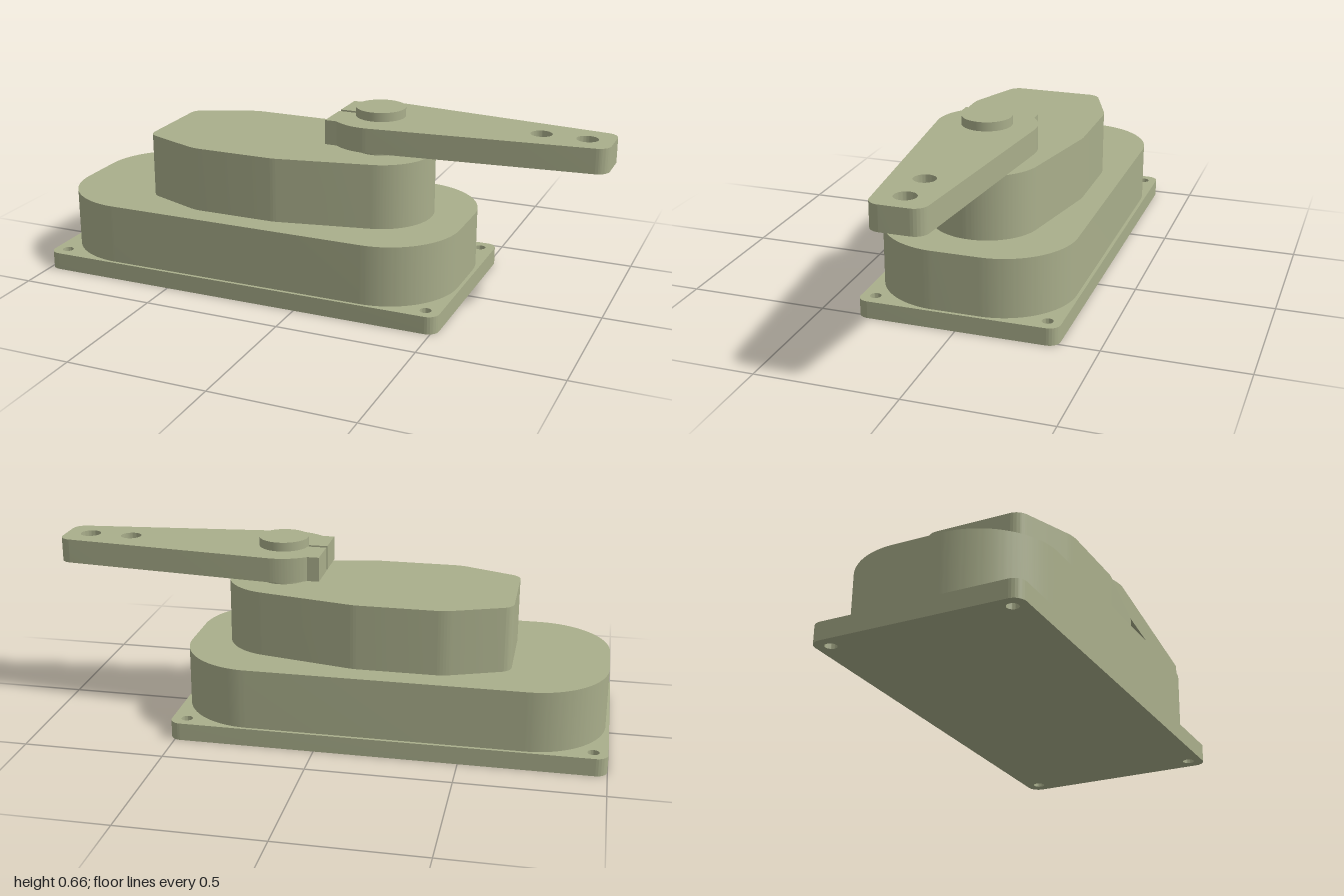
import * as THREE from 'three';
import { toCreasedNormals } from 'three/addons/utils/BufferGeometryUtils.js';

const material = new THREE.MeshStandardMaterial({ color: 0xa9ae8b });
const SHAFT_X = 0.18, SHAFT_R = 0.088;

// Adds corner p to the path, rounded with radius r between its neighbours
function corner(path, prev, p, next, r) {
  const P = new THREE.Vector2(p[0], p[1]);
  const a = new THREE.Vector2(prev[0], prev[1]).sub(P).normalize();
  const b = new THREE.Vector2(next[0], next[1]).sub(P).normalize();
  const half = Math.acos(a.dot(b)) / 2;
  const c = a.clone().add(b).normalize().multiplyScalar(r / Math.sin(half)).add(P);
  const t = r / Math.tan(half);
  const s = a.multiplyScalar(t).add(P).sub(c);
  const e = b.multiplyScalar(t).add(P).sub(c);
  path.absarc(c.x, c.y, r, Math.atan2(s.y, s.x), Math.atan2(e.y, e.x), s.cross(e) < 0);
}

// Outline mirrored across the x axis from its half: [x, z, radius], right to left
function mirroredOutline(half) {
  const pts = [...half, ...half.map(([x, z, r]) => [x, -z, r]).reverse()];
  const shape = new THREE.Shape();
  pts.forEach((p, i) => corner(shape, pts.at(i - 1), p, pts[(i + 1) % pts.length], p[2]));
  return shape;
}

function addHole(shape, x, z, r) {
  shape.holes.push(new THREE.Path().absarc(x, z, r, 0, Math.PI * 2, true));
}

// Extrudes a plan outline upwards from y0 to y1
function slab(name, shape, y0, y1) {
  const geo = new THREE.ExtrudeGeometry(shape, { depth: y1 - y0, bevelEnabled: false, curveSegments: 24 });
  geo.rotateX(-Math.PI / 2).translate(0, y0, 0);
  const mesh = new THREE.Mesh(toCreasedNormals(geo, 0.5), material);
  mesh.name = name;
  return mesh;
}

// Lever outline: split clamp around the shaft, tapering to a rounded tip
function armOutline() {
  const slot = 0.009, back = 0.025, R = 0.175;
  const a0 = THREE.MathUtils.degToRad(84), a1 = THREE.MathUtils.degToRad(130);
  const gap = Math.PI - Math.asin(slot / SHAFT_R);
  const tangent = [SHAFT_X + R * Math.cos(a0), R * Math.sin(a0)];
  const tip = [1, 0.09];
  const s = new THREE.Shape();
  s.moveTo(back, -slot);
  s.lineTo(back, -0.134);
  s.lineTo(0.06, -0.134);
  s.absarc(SHAFT_X, 0, R, -a1, -a0, false);
  corner(s, [tangent[0], -tangent[1]], [1, -0.09], tip, 0.045);
  corner(s, [1, -0.09], tip, tangent, 0.045);
  s.absarc(SHAFT_X, 0, R, a0, a1, false);
  s.lineTo(0.06, 0.134);
  s.lineTo(back, 0.134);
  s.lineTo(back, slot);
  s.absarc(SHAFT_X, 0, SHAFT_R, gap, -gap, true);
  for (const x of [0.755, 0.91]) addHole(s, x, 0, 0.037);
  return s;
}

export function createModel() {
  const group = new THREE.Group();
  group.name = 'leverUnit';

  // Mounting plate with four screw holes
  const plate = mirroredOutline([[0.52, 0.36, 0.04], [-1, 0.36, 0.04]]);
  for (const x of [-0.95, 0.467]) for (const z of [-0.31, 0.31]) addHole(plate, x, z, 0.02);
  group.add(slab('mountingPlate', plate, 0, 0.063));

  // Large rounded housing
  group.add(slab('lowerHousing',
    mirroredOutline([[0.507, 0.348, 0.265], [-0.987, 0.348, 0.265]]), 0.063, 0.278));

  // Upper housing, round around the shaft and faceted at the back
  group.add(slab('upperHousing', mirroredOutline([
    [0.375, 0.16, 0.194], [-0.12, 0.26, 0.15], [-0.43, 0.26, 0.15], [-0.655, 0.172, 0.05],
  ]), 0.278, 0.51));

  // Output shaft
  const shaft = new THREE.Mesh(new THREE.CylinderGeometry(SHAFT_R, SHAFT_R, 0.153, 48), material);
  shaft.name = 'shaft';
  shaft.position.set(SHAFT_X, 0.5865, 0);
  group.add(shaft);

  // Clamped lever arm
  group.add(slab('leverArm', armOutline(), 0.544, 0.631));
  return group;
}
